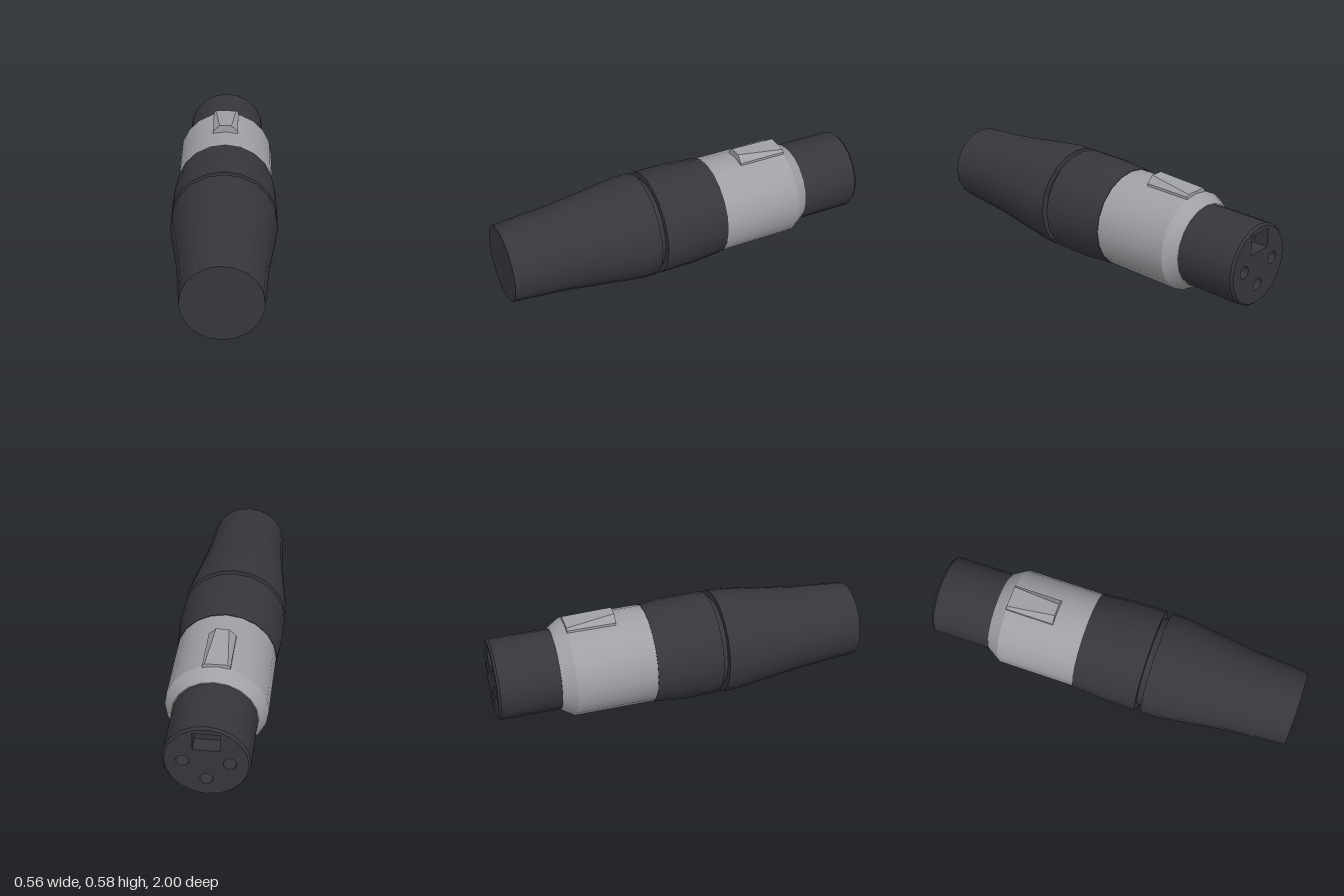
import * as THREE from 'three';
import { toCreasedNormals } from 'three/addons/utils/BufferGeometryUtils.js';

const SIDES = 20;
const AXIS_Y = 0.28;

export function createModel() {
  const group = new THREE.Group();
  const black = new THREE.MeshStandardMaterial({ color: 0x37363c });
  black.name = 'black plastic';
  const grey = new THREE.MeshStandardMaterial({ color: 0xa0a1a5 });
  grey.name = 'grey metal';

  function add(name, geometry, material, y = 0, z = 0) {
    const mesh = new THREE.Mesh(geometry, material);
    mesh.name = name;
    mesh.position.set(0, y, z);
    group.add(mesh);
    return mesh;
  }

  // Turned part along z; profile is a list of [radius, z] with rising z
  function turned(name, profile, material) {
    const lathe = new THREE.LatheGeometry(profile.map(([r, z]) => new THREE.Vector2(r, z)), SIDES);
    lathe.rotateX(Math.PI / 2);
    add(name, toCreasedNormals(lathe, 0.45), material, AXIS_Y);
  }

  // Tapered grip, groove and rear ring
  turned('grip', [[0.2, 0.22], [0.28, 0.22], [0.28, 0.3], [0.227, 0.7], [0.204, 1], [0, 1]], black);
  turned('groove', [[0.245, 0.17], [0.245, 0.24]], black);
  turned('ring', [[0.2, -0.17], [0.266, -0.17], [0.28, 0], [0.28, 0.187], [0.2, 0.187]], black);

  // Metal collar with chamfered end
  turned('collar', [[0.2, -0.67], [0.22, -0.67], [0.263, -0.6], [0.263, -0.165]], grey);

  // Socket barrel with a small bevel
  turned('barrel', [[0.205, -1], [0.215, -0.988], [0.215, -0.64]], black);

  // Socket face: three pin holes and a key slot
  const depth = 0.08;
  const face = new THREE.Shape();
  for (let i = 0; i < SIDES; i++) {
    const a = (i / SIDES) * Math.PI * 2;
    const x = 0.205 * Math.cos(a), y = 0.205 * Math.sin(a);
    if (i === 0) face.moveTo(x, y); else face.lineTo(x, y);
  }
  face.closePath();
  for (const [x, y] of [[0.114, 0], [-0.114, 0], [0, -0.106]]) {
    face.holes.push(new THREE.Path().absarc(x, y, 0.033, 0, Math.PI * 2, true));
  }
  face.holes.push(new THREE.Path([
    [-0.066, 0.075], [-0.066, 0.175], [0.066, 0.175], [0.066, 0.075],
  ].map(([x, y]) => new THREE.Vector2(x, y))));
  const faceGeometry = new THREE.ExtrudeGeometry(face, { depth, bevelEnabled: false, curveSegments: 6 });
  add('socketFace', faceGeometry, black, AXIS_Y, -1);
  add('socketFloor', new THREE.CircleGeometry(0.2, SIDES).rotateY(Math.PI), black, AXIS_Y, -1 + depth - 0.001);

  // Release button, sloping down towards the socket
  const section = new THREE.Shape([
    [-0.07, 0.5], [0.07, 0.5], [0.07, 0.545], [0.033, 0.58], [-0.033, 0.58], [-0.07, 0.545],
  ].map(([x, y]) => new THREE.Vector2(x, y)));
  const button = new THREE.ExtrudeGeometry(section, { depth: 0.26, bevelEnabled: false });
  const p = button.attributes.position;
  for (let i = 0; i < p.count; i++) {
    if (p.getZ(i) < 0.01 && p.getY(i) > 0.56) {
      p.setX(i, Math.sign(p.getX(i)) * 0.058);
      p.setY(i, 0.556);
    }
  }
  button.computeVertexNormals();
  add('releaseButton', button, grey, 0, -0.6);

  return group;
}
